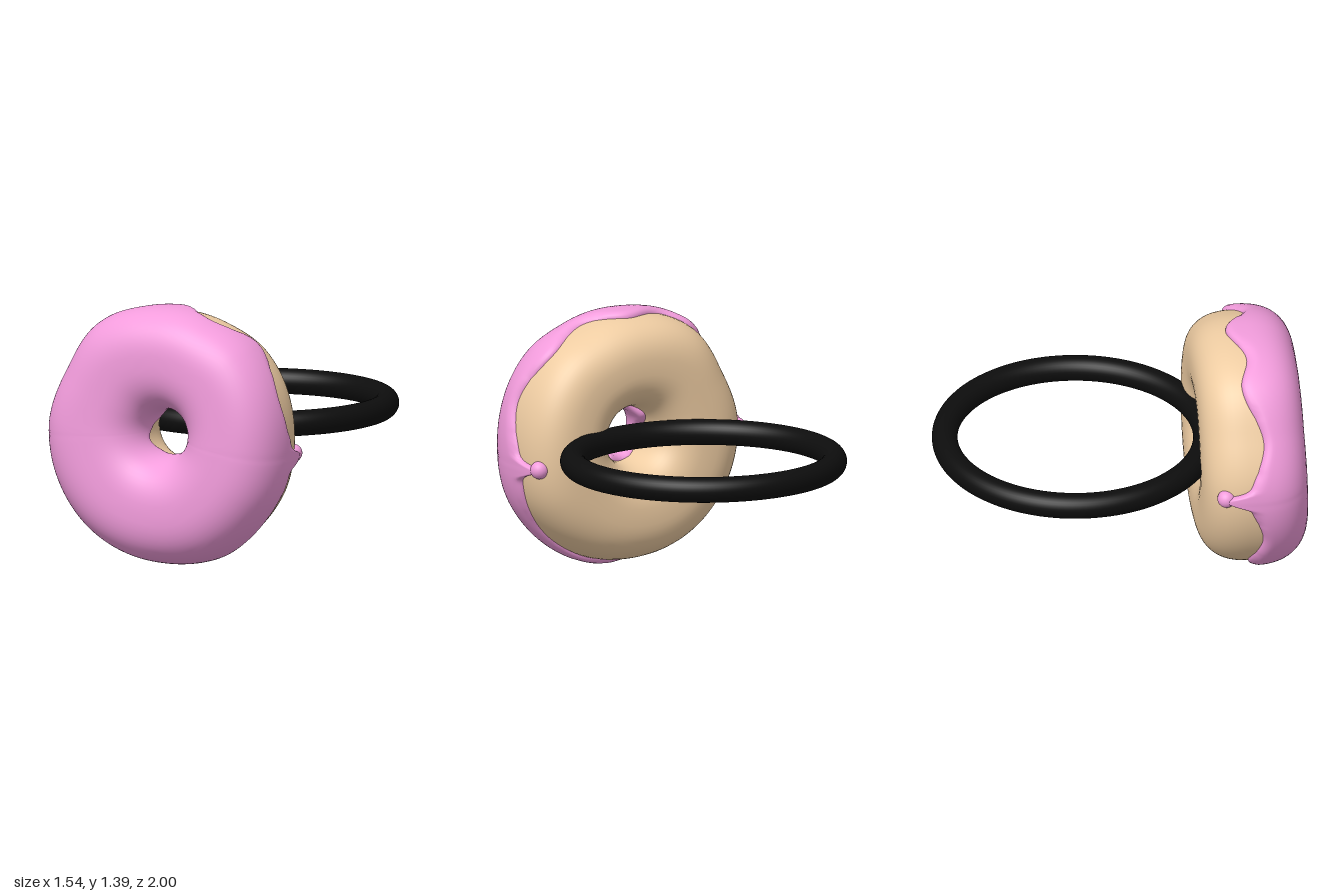
import * as THREE from 'three';

const CENTRE = { x: -0.045, y: 0.705, z: 0.67 };
const RAD = Math.PI / 180;
const DRIPS = [-8, 180]; // angles of the long drips, degrees

// [angle, z] turning points of the icing's outer and inner edges
const OUTER_EDGE = [[-8, 0.62], [21, 0.705], [48, 0.615], [69, 0.7], [90, 0.575], [112, 0.655], [126, 0.61],
  [153, 0.71], [180, 0.62], [205, 0.7], [230, 0.64], [252, 0.68], [286, 0.62], [314, 0.67]];
const INNER_EDGE = [[0, 0.6], [50, 0.7], [100, 0.64], [140, 0.6], [200, 0.72], [250, 0.66], [300, 0.62], [330, 0.7]];
// [angle, change of radius] of the uneven outline
const OUTLINE = [[0, 0], [45, 0.02], [68, 0], [90, 0], [124, 0.025], [152, -0.015], [180, 0.005],
  [225, 0.005], [265, 0], [300, 0.018], [330, 0.015]];

// Smooth periodic interpolation between key points
function wave(keys, degrees) {
  const first = keys[0][0];
  const d = first + ((((degrees - first) % 360) + 360) % 360);
  for (let i = 0; i < keys.length; i++) {
    const [a0, v0] = keys[i];
    const [a1, v1] = i + 1 < keys.length ? keys[i + 1] : [first + 360, keys[0][1]];
    if (d <= a1) return THREE.MathUtils.lerp(v0, v1, THREE.MathUtils.smoothstep(d, a0, a1));
  }
  return keys[0][1];
}

const signedPow = (v, p) => Math.sign(v) * Math.abs(v) ** p;

// Point on the plump ring; angle runs round the hole, phi round the section
function ringPoint(degrees, phi, offset) {
  const t = degrees * RAD;
  let r = 0.41 + (0.257 + offset) * signedPow(Math.cos(phi), 0.8);
  let z = (0.277 + offset) * signedPow(Math.sin(phi), 0.8);
  const outward = THREE.MathUtils.clamp((r - 0.14) / 0.55, 0, 1);
  r += wave(OUTLINE, degrees) * outward;
  if (z > 0) z *= 1 + 0.05 * Math.cos(t) - 0.065 * Math.sin(t);
  return [
    CENTRE.x + r * Math.cos(t) + 0.015 * (1 - outward),
    CENTRE.y + r * Math.sin(t) + 0.02 * (1 - outward),
    CENTRE.z + z,
  ];
}

// Grid surface closed round the hole, and optionally round the section too
function ringSurface(around, across, closed, pointAt) {
  const positions = [], index = [];
  const row = closed ? across : across + 1;
  for (let i = 0; i < around; i++) {
    for (let j = 0; j < row; j++) positions.push(...pointAt((i / around) * 360, j / across));
    for (let j = 0; j < across; j++) {
      const n = ((i + 1) % around) * row, k = (j + 1) % row;
      const a = i * row + j, b = n + j, c = n + k, d = i * row + k;
      index.push(a, b, c, a, c, d);
    }
  }
  const geometry = new THREE.BufferGeometry();
  geometry.setAttribute('position', new THREE.Float32BufferAttribute(positions, 3));
  geometry.setIndex(index);
  geometry.computeVertexNormals();
  return geometry;
}

// Section angle at which the surface reaches a given z
function phiAt(z) {
  const s = THREE.MathUtils.clamp((z - CENTRE.z) / 0.277, -0.99, 0.99);
  return Math.asin(signedPow(s, 1.25));
}

// Outer icing edge with the long drips pulled backwards
function outerEdge(degrees) {
  let z = wave(OUTER_EDGE, degrees);
  for (const drip of DRIPS) {
    const d = ((degrees - drip + 540) % 360) - 180;
    z -= 0.13 * Math.exp(-((d / 3.2) ** 2));
  }
  return z;
}

function icingPoint(degrees, v) {
  const start = phiAt(outerEdge(degrees));
  const end = Math.PI - phiAt(wave(INNER_EDGE, degrees));
  const u = (1 - Math.cos(v * Math.PI)) / 2; // rows crowd towards both edges
  const near = Math.min(1, (Math.min(u, 1 - u) * (end - start)) / 0.14);
  const offset = -0.012 + 0.042 * Math.sqrt(1 - (1 - near) ** 2); // rounded rim
  return ringPoint(degrees, start + (end - start) * u, offset);
}

export function createModel() {
  const model = new THREE.Group();
  const doughMaterial = new THREE.MeshStandardMaterial({ color: 0xeecca2 });
  const icingMaterial = new THREE.MeshStandardMaterial({ color: 0xf29cdc, side: THREE.DoubleSide });
  const bandMaterial = new THREE.MeshStandardMaterial({ color: 0x0d0d0d });

  const add = (name, geometry, material) => {
    const mesh = new THREE.Mesh(geometry, material);
    mesh.name = name;
    model.add(mesh);
    return mesh;
  };

  // Dough ring
  add('dough', ringSurface(120, 56, true, (deg, v) => ringPoint(deg, v * Math.PI * 2, 0)), doughMaterial);

  // Icing shell over the front
  add('icing', ringSurface(360, 44, false, icingPoint), icingMaterial);

  // Round ends of the long drips
  for (const drip of DRIPS) {
    const bead = add('icingDrip', new THREE.SphereGeometry(0.049, 24, 16), icingMaterial);
    bead.position.set(...ringPoint(drip, phiAt(0.497), -0.005));
  }

  // Finger band lying flat behind the ring
  const band = add('band', new THREE.TorusGeometry(0.701, 0.069, 32, 128), bandMaterial);
  band.rotation.x = Math.PI / 2;
  band.position.set(0, 0.74, -0.23);

  return model;
}
